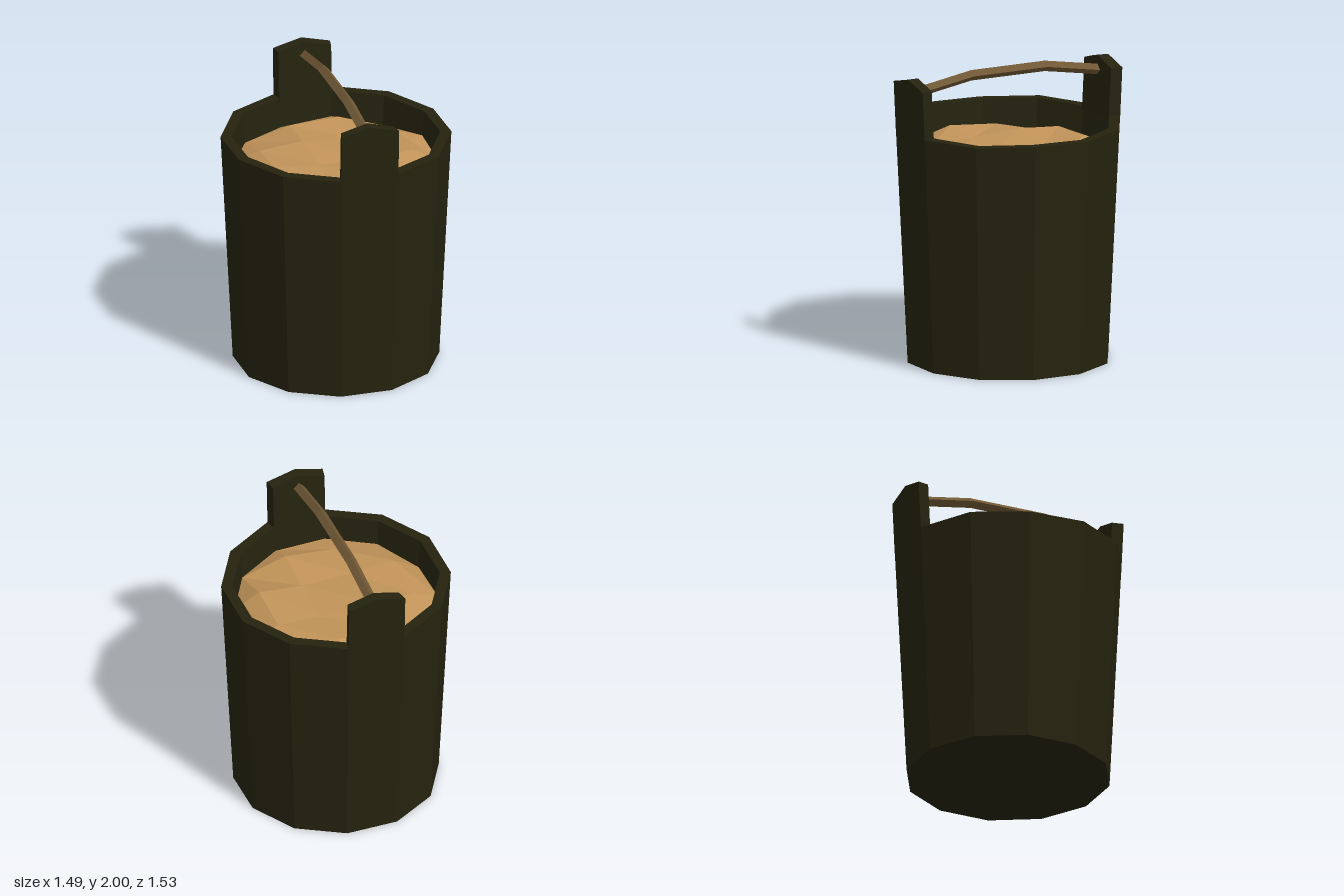
import * as THREE from 'three';

const mat = (name, color) => {
  const m = new THREE.MeshStandardMaterial({ color, flatShading: true });
  m.name = name;
  return m;
};

// Non-indexed geometry from a list of points, three per triangle
function fromTriangles(points) {
  const g = new THREE.BufferGeometry().setFromPoints(points);
  g.computeVertexNormals();
  return g;
}

// Twelve-sided tapered tub with a slightly uneven rim
function tubGeometry() {
  const profile = [[0, 0], [0.69, 0], [0.771, 1.612], [0.697, 1.612], [0.678, 1.3]];
  const g = new THREE.LatheGeometry(profile.map(p => new THREE.Vector2(...p)), 12, Math.PI / 12);
  const pos = g.attributes.position;
  for (let i = 0; i < pos.count; i++) {
    if (pos.getY(i) < 1.6) continue;
    const a = Math.atan2(pos.getX(i), pos.getZ(i));
    pos.setY(i, 1.612 + 0.005 * Math.sin(5 * a + 1));
  }
  return g;
}

// Raised stave with a peaked top, leaning outward like the wall
function postGeometry() {
  const s = new THREE.Shape([[-0.2, 1.58], [0.2, 1.58], [0.2, 1.94], [0, 1.99], [-0.2, 1.94]]
    .map(p => new THREE.Vector2(...p)));
  const g = new THREE.ExtrudeGeometry(s, { depth: 0.078, bevelEnabled: false });
  const pos = g.attributes.position;
  for (let i = 0; i < pos.count; i++) {
    const inner = pos.getZ(i) < 0.01;
    if (inner) pos.setX(i, pos.getX(i) * 0.92);
    pos.setZ(i, 0.667 + 0.0486 * pos.getY(i) - (inner ? 0.078 : 0));
  }
  g.computeVertexNormals();
  return g;
}

// Lumpy fill on a grid that follows the twelve corners of the tub
function fillGeometry() {
  const c = [-0.66, -0.483, -0.177, 0.177, 0.483, 0.66];
  const inside = (i, j) => Math.abs(i - 2.5) + Math.abs(j - 2.5) < 4;
  const vertex = (i, j) => {
    const x = c[i], z = c[j];
    const edge = Math.abs(i - 2.5) + Math.abs(j - 2.5) > 2.5;
    const bump = 0.02 * Math.sin(i * 2.3 + j * 1.7);
    return new THREE.Vector3(x, (edge ? 1.42 : 1.49) + bump, z);
  };
  const tris = [];
  for (let i = 0; i < 5; i++) for (let j = 0; j < 5; j++) {
    const quad = [[i, j], [i, j + 1], [i + 1, j + 1], [i + 1, j]];
    const kept = quad.filter(q => inside(...q)).map(q => vertex(...q));
    for (let k = 1; k + 1 < kept.length; k++) tris.push(kept[0], kept[k], kept[k + 1]);
  }
  return fromTriangles(tris);
}

// Bent bar with a diamond section
function handleGeometry() {
  const path = [[-0.7, 1.893], [-0.28, 1.964], [0.28, 1.964], [0.7, 1.893]];
  const rings = path.map(([z, y]) => [[0.038, 0], [0, 0.036], [-0.038, 0], [0, -0.036]]
    .map(([dx, dy]) => new THREE.Vector3(dx, y + dy, z)));
  const tris = [];
  for (let r = 0; r < 3; r++) for (let k = 0; k < 4; k++) {
    const n = (k + 1) % 4, a = rings[r], b = rings[r + 1];
    tris.push(a[k], a[n], b[n], a[k], b[n], b[k]);
  }
  const [s, e] = [rings[0], rings[3]];
  tris.push(s[0], s[2], s[1], s[0], s[3], s[2], e[0], e[1], e[2], e[0], e[2], e[3]);
  return fromTriangles(tris);
}

export function createModel() {
  const group = new THREE.Group();
  group.name = 'bucket';
  const darkWood = mat('dark wood', 0x25230f);
  const paleWood = mat('handle wood', 0x705835);
  const grain = mat('grain', 0xc29459);

  const add = (name, geometry, material) => {
    const mesh = new THREE.Mesh(geometry, material);
    mesh.name = name;
    group.add(mesh);
    return mesh;
  };

  darkWood.side = THREE.DoubleSide;
  add('tub', tubGeometry(), darkWood);
  add('frontPost', postGeometry(), darkWood);
  add('backPost', postGeometry(), darkWood).rotation.y = Math.PI;
  add('fill', fillGeometry(), grain);
  add('handle', handleGeometry(), paleWood);
  return group;
}
